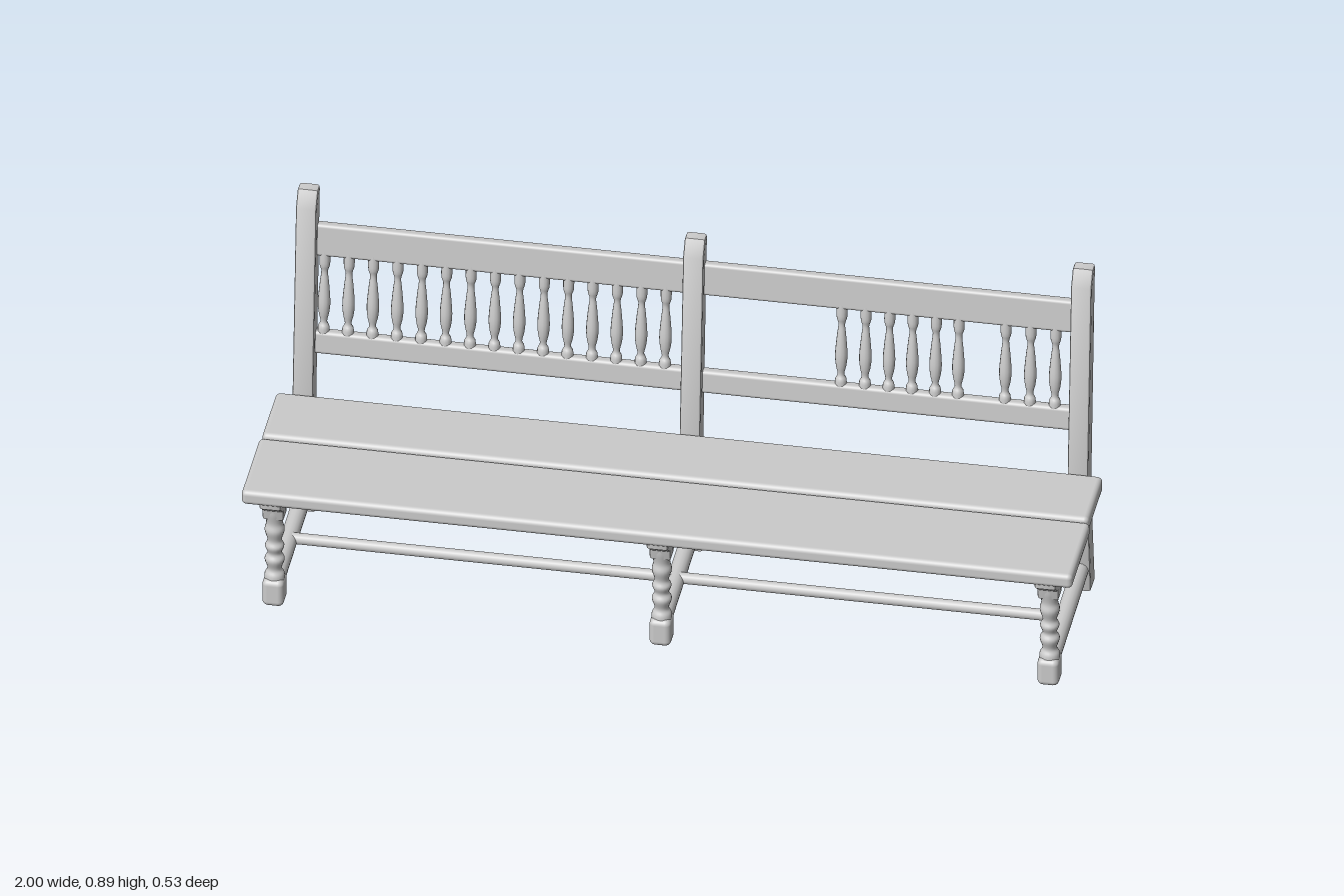
import * as THREE from 'three';
import { RoundedBoxGeometry } from 'three/addons/geometries/RoundedBoxGeometry.js';
import { toCreasedNormals } from 'three/addons/utils/BufferGeometryUtils.js';

const material = new THREE.MeshStandardMaterial({ color: 0xcccccc });

function add(parent, name, geometry, x = 0, y = 0, z = 0) {
  const mesh = new THREE.Mesh(geometry, material);
  mesh.name = name;
  mesh.position.set(x, y, z);
  parent.add(mesh);
  return mesh;
}

// Board with softened edges
const board = (w, h, d, r) => new RoundedBoxGeometry(w, h, d, 3, r);

// Side profile of [z, y] points, thickened along x with a small bevel
function sideProfile(points, width) {
  const b = 0.006;
  const shape = new THREE.Shape(points.map(([z, y]) => new THREE.Vector2(z, y)));
  const g = new THREE.ExtrudeGeometry(shape, {
    depth: width - 2 * b, bevelThickness: b, bevelSize: b, bevelOffset: -b, bevelSegments: 2,
  });
  g.translate(0, 0, b - width / 2);
  g.rotateY(-Math.PI / 2);
  return toCreasedNormals(g, 0.6);
}

// Turned part from [radius, y] points, smoothed by a spline
function turned(points, sides, steps) {
  const curve = new THREE.SplineCurve(points.map(([r, y]) => new THREE.Vector2(r, y)));
  return new THREE.LatheGeometry(curve.getPoints(steps), sides);
}

// Rear post: splayed foot below the seat, leaning back above it
function rearPost(top) {
  return sideProfile([
    [-0.26, 0], [-0.205, 0], [-0.167, 0.27], [-0.169, 0.36], [-0.213, top - 0.04],
    [-0.237, top], [-0.264, top], [-0.254, 0.78], [-0.215, 0.29],
  ], 0.05);
}

// One leg frame: rear post, turned front leg, seat bearer and foot stretcher
function legFrame(top) {
  const frame = new THREE.Group();
  frame.name = 'legFrame';
  add(frame, 'rearPost', rearPost(top));
  add(frame, 'frontFoot', board(0.052, 0.072, 0.06, 0.014), 0, 0.043, 0.196);
  add(frame, 'frontLeg', turned([
    [0.025, 0.06], [0.024, 0.085], [0.017, 0.102], [0.024, 0.128], [0.017, 0.145],
    [0.023, 0.165], [0.017, 0.182], [0.024, 0.21], [0.02, 0.232], [0.026, 0.262], [0.028, 0.285],
  ], 20, 50), 0, 0, 0.194);
  add(frame, 'seatBearer', sideProfile([
    [-0.2, 0.268], [0.168, 0.268], [0.178, 0.25], [0.216, 0.25], [0.222, 0.278],
    [0.256, 0.304], [0.258, 0.322], [-0.2, 0.322],
  ], 0.052));
  const stretcher = new THREE.CylinderGeometry(0.021, 0.021, 0.4, 16);
  stretcher.rotateX(Math.PI / 2);
  add(frame, 'footStretcher', stretcher, 0, 0.06, -0.015).rotation.x = 0.02;
  return frame;
}

export function createModel() {
  const bench = new THREE.Group();
  bench.name = 'bench';

  // Three leg frames, the middle post slightly shorter
  for (const [x, top] of [[-0.932, 0.892], [0, 0.865], [0.934, 0.892]]) {
    const frame = legFrame(top);
    frame.position.x = x;
    bench.add(frame);
  }

  // Two seat planks
  add(bench, 'frontSeatPlank', board(2, 0.038, 0.239, 0.012), 0, 0.334, 0.1445);
  add(bench, 'rearSeatPlank', board(1.99, 0.042, 0.19, 0.012), 0, 0.337, -0.073);

  // Long stretcher joining the leg frames
  const longStretcher = new THREE.CylinderGeometry(0.014, 0.014, 1.87, 16);
  longStretcher.rotateZ(Math.PI / 2);
  add(bench, 'longStretcher', longStretcher, 0, 0.065, 0.01);

  // Back rails, tilted with the posts
  const lean = -0.085;
  for (const side of [-1, 1]) {
    add(bench, 'topRail', board(0.92, 0.085, 0.026, 0.008), side * 0.465, 0.758, -0.237).rotation.x = lean;
    add(bench, 'lowerRail', board(0.92, 0.06, 0.028, 0.009), side * 0.465, 0.484, -0.212).rotation.x = lean;
  }

  // Back spindles: a full row on the right, a gapped row on the left
  const spindle = turned([
    [0.014, -0.115], [0.014, -0.09], [0.008, -0.075], [0.013, -0.05], [0.015, -0.02],
    [0.011, 0.03], [0.008, 0.06], [0.013, 0.08], [0.013, 0.115],
  ], 12, 28);
  const xs = Array.from({ length: 15 }, (_, i) => -0.89 + i * 0.0587);
  xs.push(0.355, 0.413, 0.47, 0.526, 0.582, 0.637, 0.75, 0.81, 0.87);
  for (const x of xs) add(bench, 'spindle', spindle, x, 0.613, -0.224).rotation.x = lean;

  return bench;
}
